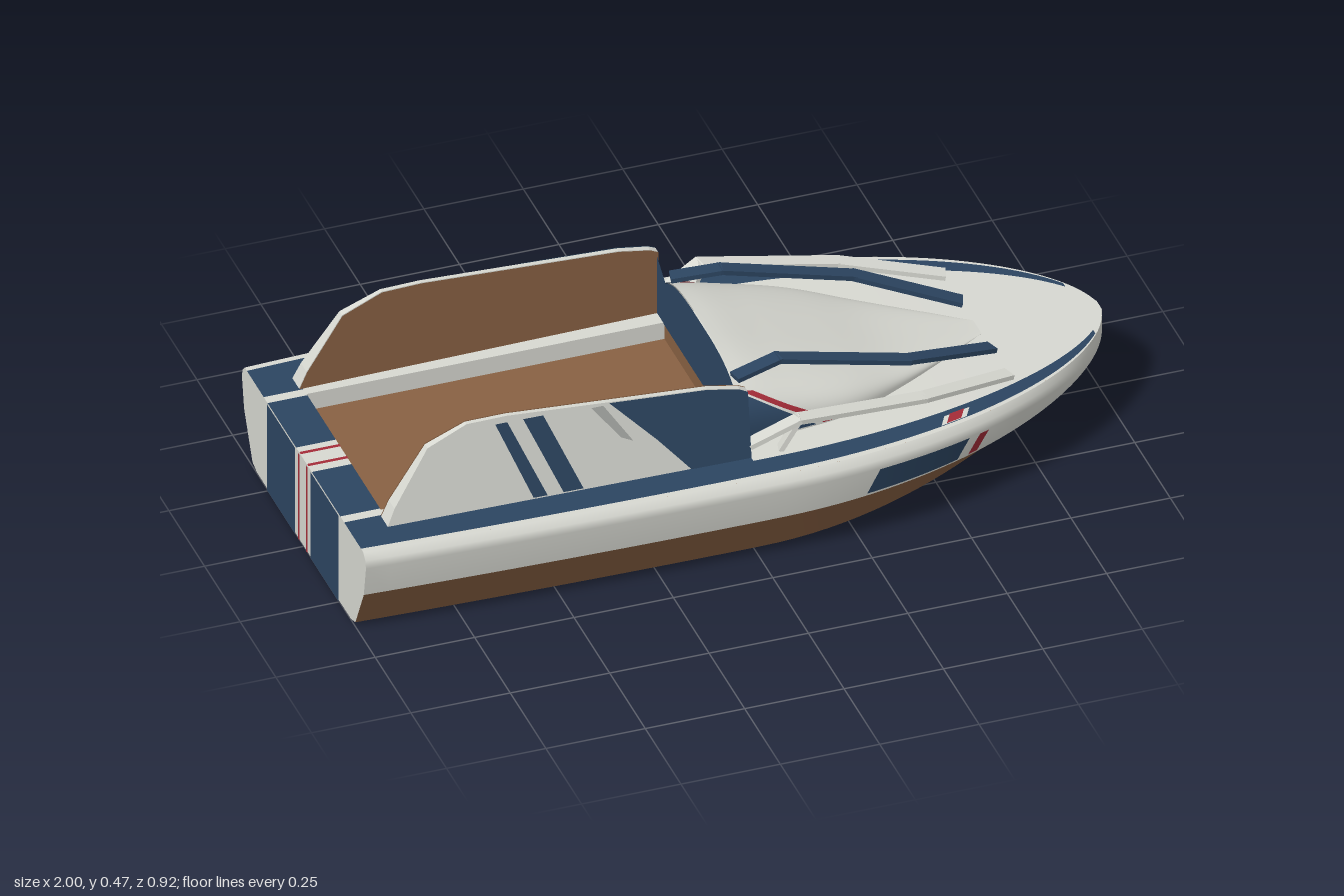
import * as THREE from 'three';

const mat = (name, color) => new THREE.MeshStandardMaterial({ name, color, side: THREE.DoubleSide });
const lerp = THREE.MathUtils.lerp;

// Hull lines as functions of the length coordinate x (bow at +x)
const fore = x => Math.max(x, 0);
const halfBeam = x => {
  if (x < 0) return 0.46 - 0.025 * x * x;
  const u = Math.max(0, (x - 0.05) / 0.95);
  return Math.max(0.02, 0.46 * Math.pow(Math.max(0, 1 - u * u), 0.58));
};
const keelY = x => 0.18 * Math.pow(fore(x), 1.9);
const paintY = x => 0.127 + 0.065 * fore(x) ** 2;
const deckY = x => 0.247 - 0.012 * fore(x) ** 2;

// Half sections as [z, y] points
const bottomSection = x => {
  const b = halfBeam(x), k = keelY(x), f = fore(x);
  return [[0, k], [b * (0.76 - 0.3 * f * f), k + 0.002 + 0.004 * f],
    [b * (0.83 - 0.25 * f * f), k + 0.012], [b * 0.965, paintY(x)]];
};
const sideSection = x => {
  const b = halfBeam(x), d = deckY(x);
  return [[b * 0.965, paintY(x)], [b, d - 0.036], [b * 0.99, d - 0.016], [b * 0.955, d]];
};

// Smooth surface from a rule (u, v) -> [x, y, z]
function grid(fn, nu, nv) {
  const pos = [], idx = [];
  for (let i = 0; i <= nu; i++) for (let j = 0; j <= nv; j++) pos.push(...fn(i / nu, j / nv));
  for (let i = 0; i < nu; i++) for (let j = 0; j < nv; j++) {
    const a = i * (nv + 1) + j, b = a + nv + 1;
    idx.push(a, b, a + 1, b, b + 1, a + 1);
  }
  const g = new THREE.BufferGeometry();
  g.setAttribute('position', new THREE.Float32BufferAttribute(pos, 3));
  g.setIndex(idx);
  g.computeVertexNormals();
  return g;
}

const shapeOf = pts => new THREE.Shape(pts.map(p => new THREE.Vector2(p[0], p[1])));
// Flat sheet across the boat, given as [z, y] points
const crossSheet = (pts, x) => new THREE.ShapeGeometry(shapeOf(pts)).rotateY(Math.PI / 2).translate(x, 0, 0);
const mirrored = half => [...half, ...half.slice().reverse().map(([z, y]) => [-z, y])];

// Raised foredeck: superellipse sections that sink into the deck
const cowlCurve = new THREE.SplineCurve([[0.287, 0.166], [0.277, 0.128], [0.25, 0.085], [0.18, 0.042],
  [0.095, 0.014], [0.01, -0.004]].map(p => new THREE.Vector2(...p)));
function cowlPoint(x, a, out = 0) {
  const p = cowlCurve.getPoint(Math.min(1, x / 0.74));
  const s = Math.sin(a), c = Math.max(0, Math.cos(a));
  return [x, deckY(x) + (p.y + out) * Math.pow(c, 0.667), (p.x + out) * Math.sign(s) * Math.pow(Math.abs(s), 0.667)];
}

export function createModel() {
  const white = mat('white gelcoat', 0xd8d9d2), navy = mat('navy paint', 0x2c4561);
  const brown = mat('brown paint', 0x896143), red = mat('red stripe', 0xa52c38), grey = mat('pale grey', 0xa9aca8);
  const boat = new THREE.Group();
  boat.name = 'boat';
  const add = (name, geo, m) => {
    const mesh = new THREE.Mesh(geo, m);
    mesh.name = name;
    boat.add(mesh);
    return mesh;
  };
  const lengthX = u => -1 + 2 * (1 - Math.pow(1 - u, 1.8));
  // Deck strip between two edge lines
  const strip = (name, x0, x1, zin, zout, m, s, n = 16, up = 0) => add(name, grid((u, v) => {
    const x = lerp(x0, x1, 1 - Math.pow(1 - u, 1.8));
    return [x, deckY(x) + up, s * lerp(zin(x), zout(x), v)];
  }, n, 1), m);

  // Transom and bow cap
  add('transom', crossSheet(mirrored([...bottomSection(-1), ...sideSection(-1).slice(1)]), -1), white);
  add('bowCap', crossSheet(mirrored([...bottomSection(1), ...sideSection(1).slice(1)]), 1), white);

  for (const s of [1, -1]) {
    // Hull: bottom panels with hard chines, smooth topsides
    for (let k = 0; k < 3; k++) add('hullBottom', grid((u, v) => {
      const x = lengthX(u), p = bottomSection(x);
      return [x, lerp(p[k][1], p[k + 1][1], v), s * lerp(p[k][0], p[k + 1][0], v)];
    }, 56, 1), brown);
    add('hullTopside', grid((u, v) => {
      const x = lengthX(u), p = sideSection(x)[Math.round(v * 3)];
      return [x, p[1], s * p[0]];
    }, 56, 3), white);

    // Slanted blocks on the bow topsides
    for (const [x0, x1, m] of [[0.26, 0.505, navy], [0.535, 0.56, red]]) add('bowStripe', grid((u, v) => {
      const x = lerp(x0, x1, u) + 0.03 * v, t = lerp(0.12, 1, v), p = sideSection(x);
      return [x, lerp(p[0][1], p[1][1], t), s * (lerp(p[0][0], p[1][0], t) + 0.004)];
    }, 10, 2), m);

    // Deck bands
    const edge = x => halfBeam(x) * 0.955, outer = x => halfBeam(x) * 0.92, inner = x => halfBeam(x) * 0.79;
    strip('deckRim', -1, 0.95, outer, edge, white, s, 48);
    strip('foredeckBand', 0, 0.95, inner, outer, navy, s, 32);
    strip('foredeck', 0, 0.95, () => 0, inner, white, s, 32);
    strip('bowTip', 0.95, 1, () => 0, edge, white, s, 10);
    strip('sideDeckBand', -0.9, 0, () => 0.315, outer, navy, s);
    strip('coaming', -0.9, 0, () => 0.26, () => 0.315, white, s);
    const aft = [[0, 0.055, white], [0.055, 0.255, navy], [0.255, 0.282, white]];
    for (const [a, b, m] of aft) strip('aftDeck', -1, -0.9, () => a, () => b, m, s, 2);
    strip('aftDeckBand', -1, -0.9, () => 0.282, outer, navy, s, 2);
    strip('aftPinstripe', -1, -0.9, () => 0.022, () => 0.032, red, s, 2, 0.002);

    // Slanted white break and red dash in the foredeck band
    for (const [name, x0, w, v0, up, m] of [['deckBreak', 0.47, 0.07, 0.4, 0.002, white], ['deckDash', 0.485, 0.04, 0.4, 0.004, red]])
      add(name, grid((u, v) => {
        const x = x0 + w * u + 0.02 * (1 - v);
        return [x, deckY(x) + up, s * lerp(inner(x), outer(x), lerp(v0, 1, v))];
      }, 2, 1), m);

    // Transom stripes
    for (const [a, b, m] of [[0.055, 0.25, navy], [0.022, 0.032, red]])
      add('transomStripe', crossSheet([[-s * a, 0.002], [-s * b, 0.002], [-s * b, 0.247], [-s * a, 0.247]], -1.003), m);

    // White lip around the shallow cockpit well
    add('cockpitWall', grid((u, v) => [-0.9 + 0.9 * u, lerp(0.2, 0.247, v), s * 0.26], 1, 1), white);

    // Side panels: upright inner face (t = 0), outer face leaning inwards (t = 1)
    const lean = (geo, t, out) => {
      const p = geo.attributes.position;
      for (let i = 0; i < p.count; i++) {
        const x = p.getX(i), y = p.getY(i);
        const outerZ = 0.348 + 0.015 * x - 0.15 * (y - 0.25), innerZ = 0.306 + 0.02 * x;
        p.setZ(i, s * (lerp(innerZ, outerZ, t + p.getZ(i)) + out));
      }
      geo.computeVertexNormals();
      return geo;
    };
    const outline = [[-0.91, 0.245], [-0.89, 0.29], [-0.8, 0.43], [-0.7, 0.473], [-0.6, 0.475], [-0.35, 0.46],
      [-0.1, 0.445], [-0.02, 0.43], [0, 0.42], [0, 0.245]];
    add('sidePanel', lean(new THREE.ExtrudeGeometry(shapeOf(outline), { depth: 1, steps: 1, bevelEnabled: false }), 0, 0), white);
    add('sidePanelLining', lean(new THREE.ShapeGeometry(shapeOf(outline)), 0, -0.003), brown);
    const paint = [
      [navy, [[-0.63, 0.46], [-0.6, 0.46], [-0.51, 0.252], [-0.545, 0.252]]],
      [navy, [[-0.56, 0.46], [-0.51, 0.46], [-0.42, 0.252], [-0.47, 0.252]]],
      [grey, [[-0.39, 0.455], [-0.36, 0.455], [-0.29, 0.35], [-0.32, 0.365]]],
      [navy, [[-0.345, 0.459], [-0.1, 0.445], [-0.02, 0.43], [0, 0.42], [0, 0.248], [-0.15, 0.248], [-0.23, 0.34]]]];
    for (const [m, pts] of paint) add('panelStripe', lean(new THREE.ShapeGeometry(shapeOf(pts)), 1, 0.003), m);

    // Navy corner and red slash on the foredeck flank
    add('cowlCorner', grid((u, v) => cowlPoint(0.19 * u * v, s * lerp(0.9, 1.56, v), 0.003), 8, 10), navy);
    add('cowlSlash', grid((u, v) => cowlPoint(0.2 * v + 0.01 + 0.03 * u, s * lerp(0.9, 1.56, v), 0.003), 2, 10), red);

    // Bent rails over the foredeck
    const rail = (name, pts, w, h, m) => {
      for (let i = 0; i + 1 < pts.length; i++) {
        const a = new THREE.Vector3(...pts[i]), b = new THREE.Vector3(...pts[i + 1]);
        a.z *= s;
        b.z *= s;
        const bar = add(name, new THREE.BoxGeometry(w, h, a.distanceTo(b) + 0.008), m);
        bar.position.copy(a).lerp(b, 0.5);
        bar.lookAt(b);
      }
    };
    rail('innerRail', [[0.006, 0.398, 0.225], [0.12, 0.411, 0.2], [0.45, 0.325, 0.19], [0.69, 0.25, 0.105]], 0.038, 0.012, navy);
    rail('outerRail', [[0.006, 0.275, 0.33], [0.12, 0.332, 0.35], [0.45, 0.29, 0.305], [0.69, 0.25, 0.225]], 0.038, 0.012, white);
    rail('railPost', [[0.12, 0.325, 0.345], [0.08, 0.25, 0.335]], 0.03, 0.012, white);
  }

  // Raised foredeck
  add('cowl', grid((u, v) => cowlPoint(0.74 * u, lerp(-Math.PI / 2, Math.PI / 2, v)), 28, 40), white);

  // Bulkhead closing the raised foredeck and joining the side panels
  const section = [];
  for (let i = 1; i <= 8; i++) {
    const p = cowlPoint(0, 0.9 * i / 8);
    section.push([p[2], p[1]]);
  }
  add('bulkhead', crossSheet(mirrored([...section, [0.32, 0.42], [0.346, 0.245]]), -0.003), navy);

  // Cockpit floor and end walls
  add('cockpitFloor', new THREE.BoxGeometry(0.9, 0.01, 0.52).translate(-0.45, 0.195, 0), brown);
  for (const x of [-0.9, 0])
    add('cockpitEnd', crossSheet([[-0.26, 0.2], [0.26, 0.2], [0.26, 0.246], [-0.26, 0.246]], x), brown);

  return boat;
}
